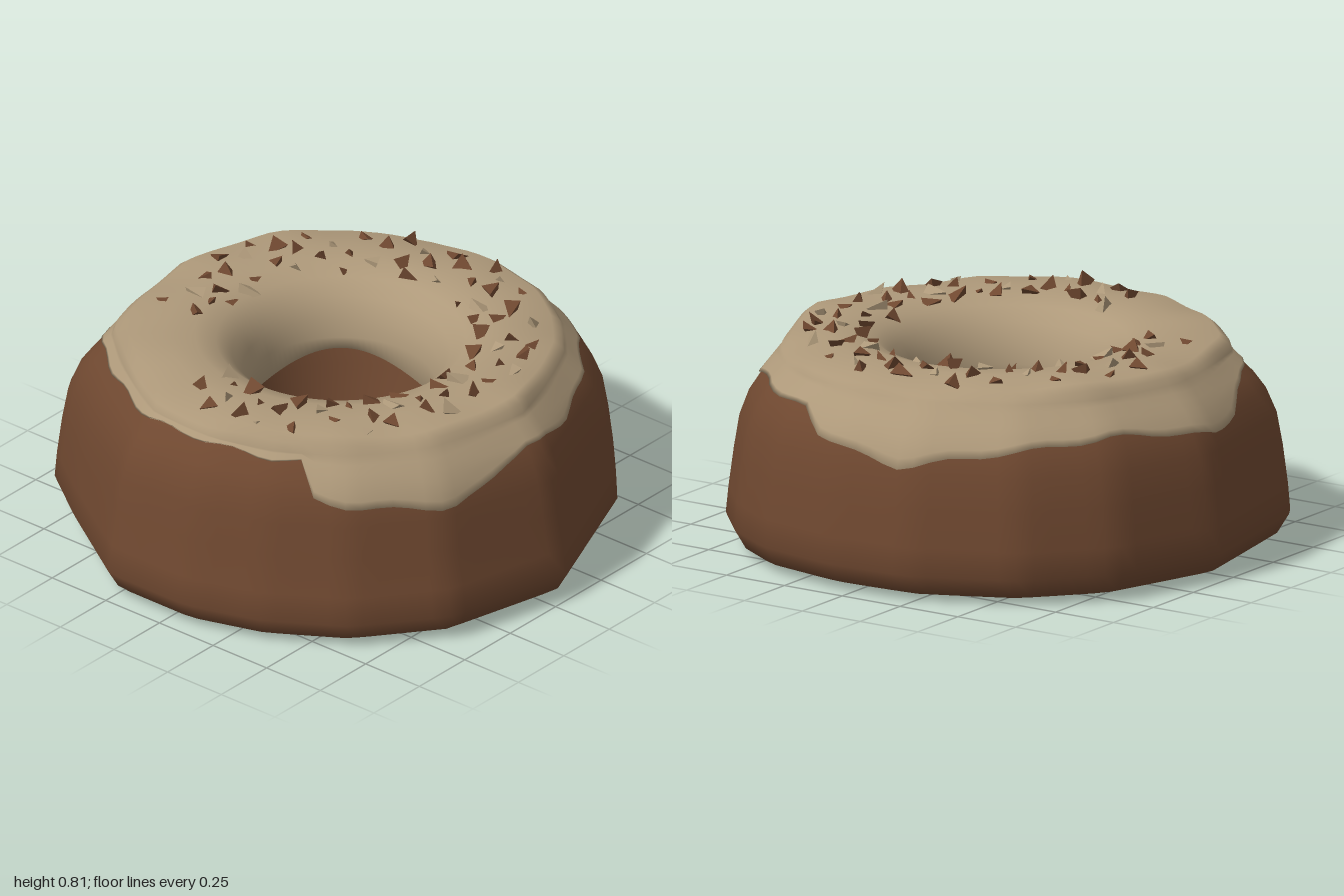
import * as THREE from 'three';
import { mergeVertices } from 'three/addons/utils/BufferGeometryUtils.js';

const V = (x, y) => new THREE.Vector2(x, y);
const SEGMENTS = 96;

// Piecewise-linear lookup over [key, value] pairs
function lookup(table, key) {
  for (let i = 1; i < table.length; i++) {
    const [k0, v0] = table[i - 1], [k1, v1] = table[i];
    if (key <= k1) return v0 + (v1 - v0) * Math.max(0, (key - k0) / (k1 - k0));
  }
  return table[table.length - 1][1];
}

// Uneven footprint of the ring, as x, z corners
const outline = [
  [0.06, 1], [0.6, 0.78], [0.79, 0.61], [0.92, 0.4], [0.98, 0.08], [0.96, -0.25], [0.79, -0.62], [0.52, -0.86],
  [0.08, -1], [-0.55, -0.88], [-0.74, -0.62], [-0.98, -0.25], [-0.98, 0.1], [-0.89, 0.38], [-0.72, 0.65], [-0.43, 0.88],
];

// Distance from the centre to the footprint along an angle
function footprint(angle) {
  const dx = Math.sin(angle), dz = Math.cos(angle);
  for (let i = 0; i < outline.length; i++) {
    const [ax, az] = outline[i], [bx, bz] = outline[(i + 1) % outline.length];
    const ex = bx - ax, ez = bz - az, det = dx * ez - dz * ex;
    const along = (ax * ez - az * ex) / det, u = (ax * dz - az * dx) / det;
    if (along > 0 && u >= -1e-6 && u <= 1 + 1e-6) return along;
  }
  return 0.98;
}

// Outer side of the dough as [height, radius]
const side = [[0.03, 0.88], [0.05, 0.94], [0.12, 0.98], [0.22, 0.972], [0.36, 0.955], [0.48, 0.935],
  [0.57, 0.9], [0.63, 0.86], [0.68, 0.815], [0.72, 0.78]];

// Lower edge height of the icing as [degrees from the front, height]
const drip = [[0, 0.63], [20, 0.6], [40, 0.65], [60, 0.64], [72, 0.63], [78, 0.57], [90, 0.53], [102, 0.5],
  [114, 0.54], [127, 0.57], [150, 0.6], [164, 0.58], [180, 0.54], [192, 0.56], [199, 0.62], [207, 0.67], [240, 0.68],
  [270, 0.7], [300, 0.69], [304, 0.57], [328, 0.53], [338, 0.52], [346, 0.55], [354, 0.61], [360, 0.63]];

// Sweeps an angle-dependent profile round the ring, following the footprint
function ring(profileAt) {
  const count = profileAt(0).length;
  const geometry = new THREE.LatheGeometry(profileAt(0), SEGMENTS);
  const pos = geometry.attributes.position;
  for (let s = 0; s <= SEGMENTS; s++) {
    const angle = ((s % SEGMENTS) / SEGMENTS) * Math.PI * 2;
    const scale = footprint(angle) / 0.98;
    // The front and right flanks are straighter than the others
    const flatten = 0.03 * Math.max(0, Math.cos(angle + Math.PI / 4));
    profileAt(angle).forEach((p, j) => {
      const outer = THREE.MathUtils.smoothstep(p.x, 0.5, 0.98);
      const belly = Math.sin(Math.PI * THREE.MathUtils.clamp((p.y - 0.12) / 0.56, 0, 1));
      const r = p.x * (1 + (scale - 1) * outer) - flatten * belly * outer;
      pos.setXYZ(s * count + j, r * Math.sin(angle), p.y, r * Math.cos(angle));
    });
  }
  geometry.deleteAttribute('uv');
  geometry.deleteAttribute('normal');
  const merged = mergeVertices(geometry, 1e-5);
  merged.computeVertexNormals();
  return merged;
}

// Dough: side, top and wall of the hole
const doughProfile = [
  ...side.map(([y, r]) => V(r, y)),
  V(0.73, 0.735), V(0.6, 0.748), V(0.53, 0.742), V(0.46, 0.715), V(0.405, 0.66), V(0.37, 0.58), V(0.347, 0.45),
  V(0.315, 0.32), V(0.285, 0.18), V(0.285, 0.02),
];

// Icing: wavy skirt, raised rim, flat top and rounded lip inside the hole
function icingProfile(angle) {
  const edge = lookup(drip, THREE.MathUtils.radToDeg(angle)) + 0.008 * Math.sin(angle * 17);
  const points = [V(lookup(side, edge) - 0.01, edge)];
  for (let i = 0; i <= 6; i++) {
    const y = edge + (0.715 - edge) * i / 6;
    points.push(V(lookup(side, y) + 0.01, y));
  }
  const bump = 0.007 * Math.sin(angle * 5 + 1) + 0.004 * Math.sin(angle * 13) - 0.006 * (1 + Math.sin(angle));
  const lip = 0.49 + 0.03 * Math.sin(angle * 3 + 1);
  return [...points, V(0.785, 0.747 + bump), V(0.755, 0.77 + bump), V(0.62, 0.778), V(0.52, 0.772),
    V(0.445, 0.748), V(0.388, 0.7), V(0.352, 0.63), V(0.336, 0.56), V(0.332, lip), V(0.37, lip - 0.01)];
}

// Small seeded random source
function seeded(seed) {
  return () => (seed = (seed * 16807) % 2147483647) / 2147483647;
}

export function createModel() {
  const dough = new THREE.MeshStandardMaterial({ color: 0x6f4830 });
  const icing = new THREE.MeshStandardMaterial({ color: 0xae997a });
  const model = new THREE.Group();
  model.name = 'donut';

  const add = (name, geometry, material, parent = model) => {
    const mesh = new THREE.Mesh(geometry, material);
    mesh.name = name;
    parent.add(mesh);
    return mesh;
  };

  add('dough', ring(() => doughProfile), dough);
  add('icing', ring(icingProfile), icing);
  // Flat underside
  add('underside', ring(() => [V(0.285, 0.02), V(0.6, 0.018), V(0.88, 0.03)]), dough);

  // Crumbs spread evenly over the icing, leaving the back right bare
  const random = seeded(90731);
  const crumbs = new THREE.Group();
  crumbs.name = 'crumbs';
  model.add(crumbs);
  const shard = new THREE.TetrahedronGeometry(1);
  const count = 84;
  for (let i = 0; i < count; i++) {
    const angle = (-105 + 310 * (i + random()) / count) * Math.PI / 180;
    const r = 0.46 + 0.26 * ((i * 0.618 + 0.2 * random()) % 1);
    const crumb = add('crumb', shard, i % 4 === 0 ? icing : dough, crumbs);
    const size = 0.022 + 0.026 * random();
    const height = lookup([[0.445, 0.748], [0.52, 0.772], [0.62, 0.778], [0.755, 0.766]], r);
    crumb.position.set(r * Math.sin(angle), height, r * Math.cos(angle));
    crumb.scale.set(size * (0.9 + 0.9 * random()), size * 0.8, size);
    crumb.rotation.set(random() * 1.2, random() * 6.28, random() * 1.2);
  }
  return model;
}
